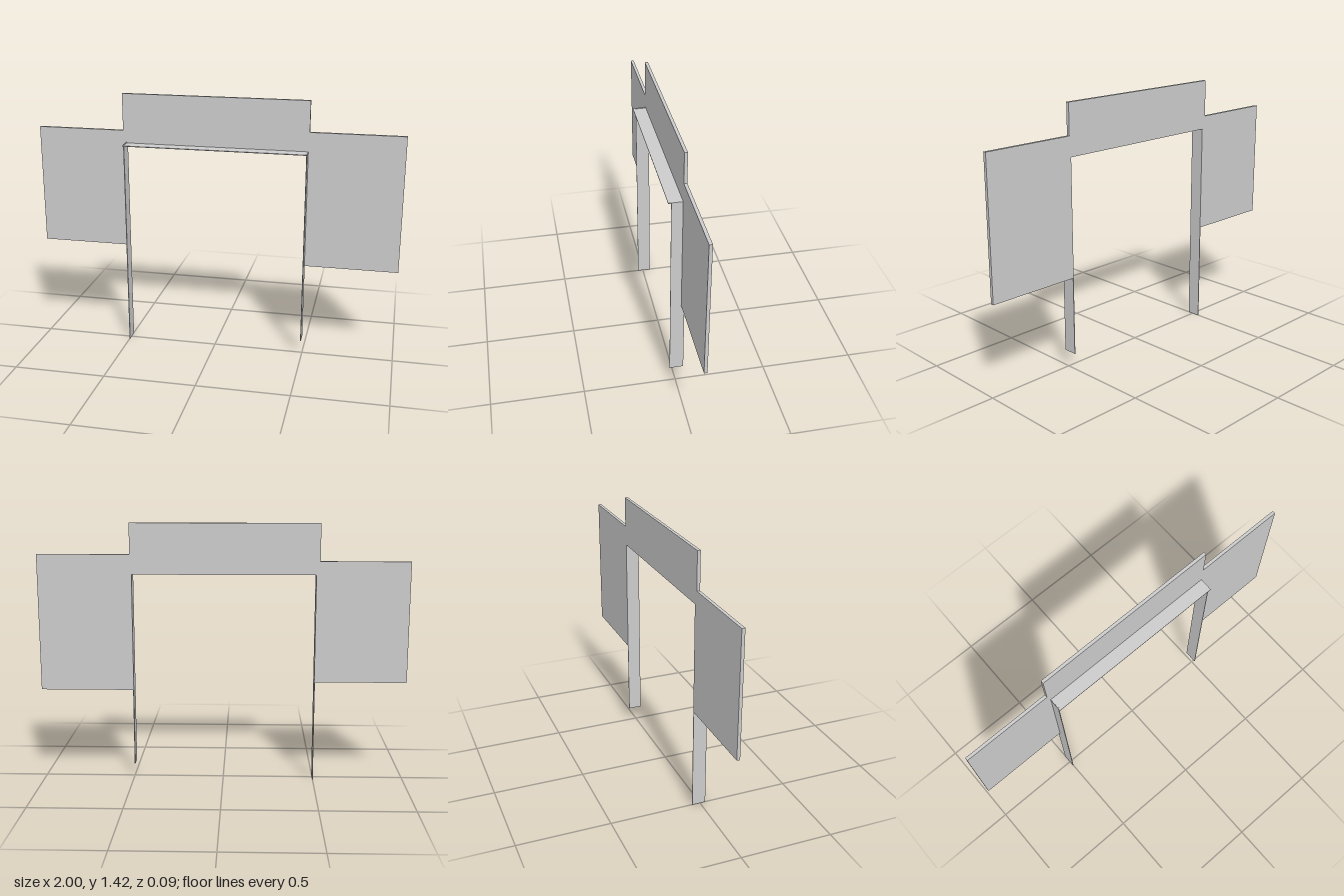
import * as THREE from 'three';

const material = new THREE.MeshStandardMaterial({ color: 0xcccccc, flatShading: true, side: THREE.DoubleSide });

// Box given by its minimum and maximum corners
function slab(name, min, max) {
  const size = max.map((v, i) => v - min[i]);
  const mesh = new THREE.Mesh(new THREE.BoxGeometry(...size), material);
  mesh.position.set(...max.map((v, i) => (v + min[i]) / 2));
  mesh.name = name;
  return mesh;
}

export function createModel() {
  const group = new THREE.Group();
  group.name = 'doorwayWall';
  const back = -0.045, thickness = 0.017;

  // Stepped wall panel around the opening
  const outline = [
    [-1, 0.56], [-0.5, 0.56], [-0.5, 1.15], [0.495, 1.15], [0.495, 0.51], [1, 0.51],
    [1, 1.255], [0.5, 1.255], [0.5, 1.422], [-0.518, 1.422], [-0.518, 1.22], [-1, 1.22],
  ].map(([x, y]) => new THREE.Vector2(x, y));
  const wall = new THREE.Mesh(
    new THREE.ExtrudeGeometry(new THREE.Shape(outline), { depth: thickness, bevelEnabled: false }),
    material
  );
  wall.position.z = back;
  wall.name = 'wallPanel';
  group.add(wall);

  // Thin jamb linings of unequal length
  group.add(slab('rightJamb', [-0.502, 0, back], [-0.498, 1.155, 0.03]));
  group.add(slab('leftJamb', [0.491, 0.083, back], [0.495, 1.15, 0.03]));

  // Thin lining under the top of the opening
  group.add(slab('headLining', [-0.504, 1.147, back], [0.495, 1.151, 0.045]));
  return group;
}
